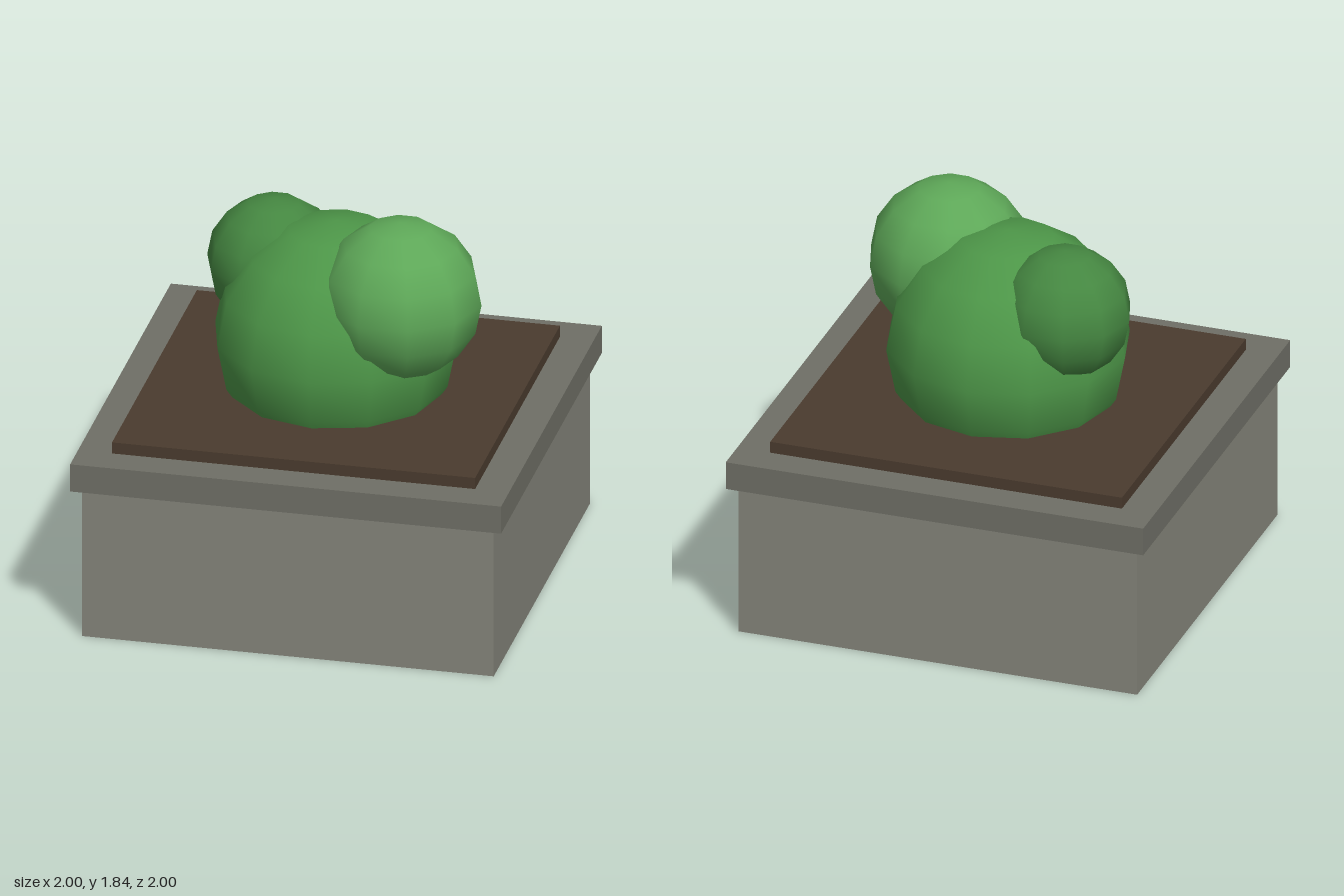
import * as THREE from 'three';

export function createModel() {
  const model = new THREE.Group();
  model.name = 'planter';

  function add(name, geometry, color, x, y, z) {
    const mesh = new THREE.Mesh(geometry, new THREE.MeshStandardMaterial({ color }));
    mesh.name = name;
    mesh.position.set(x, y, z);
    model.add(mesh);
  }

  // Square slabs stacked from the ground: name, width, bottom, top, color
  const slabs = [
    ['planterBox', 1.91, 0, 0.735, 0x84847a],
    ['planterRim', 2, 0.735, 0.87, 0x6f6f66],
    ['soil', 1.685, 0.87, 0.925, 0x4a3b2e],
  ];
  for (const [name, width, bottom, top, color] of slabs) {
    add(name, new THREE.BoxGeometry(width, top - bottom, width), color, 0, (bottom + top) / 2, 0);
  }

  // Smooth low-poly foliage balls: name, radius, segments around, color, centre
  const balls = [
    ['mainBush', 0.56, 12, 0x4d9648, 0, 1.18, 0],
    ['leftBush', 0.375, 10, 0x5ea858, 0.34, 1.467, 0.17],
    ['rightBush', 0.31, 10, 0x458741, -0.32, 1.445, -0.14],
  ];
  for (const [name, radius, segments, color, x, y, z] of balls) {
    add(name, new THREE.SphereGeometry(radius, segments, 8), color, x, y, z);
  }

  return model;
}
